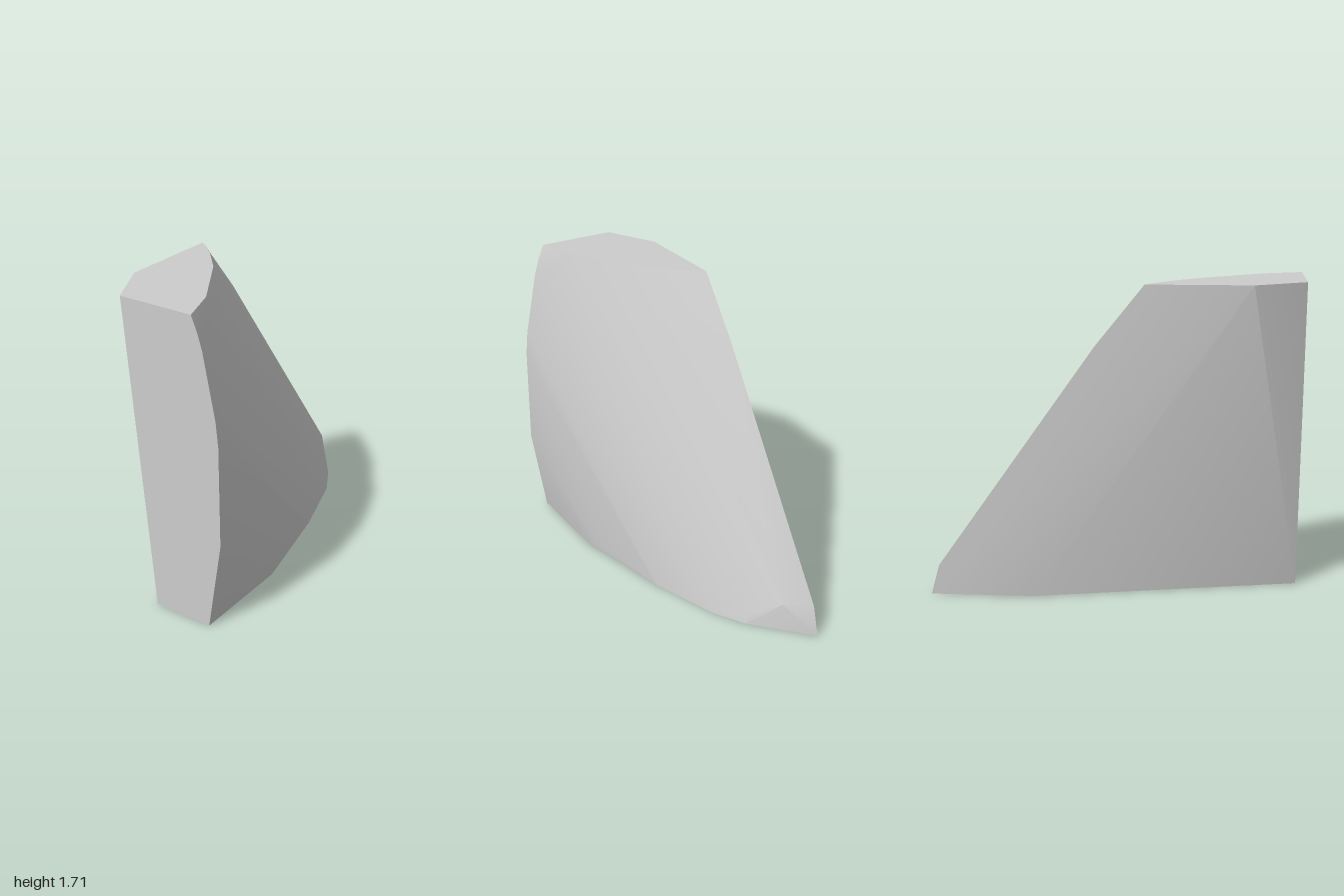
import * as THREE from 'three';
import { ConvexGeometry } from 'three/addons/geometries/ConvexGeometry.js';
import { toCreasedNormals } from 'three/addons/utils/BufferGeometryUtils.js';

const H = 1.71;   // height of the flat top
const L = -0.36;  // flat side plane

// Flat bottom outline, as [x, z]
const bottom = [
  [L, -1], [-0.09, -0.71], [0.01, -0.535], [0.14, -0.14],
  [0.27, 0.43], [0.273, 1], [-0.068, 1], [L, -0.44],
];

// Flat top outline, as [x, z]
const top = [
  [L, 0.16], [-0.23, 0.27], [-0.09, 0.425], [0.135, 0.78],
  [0.215, 1], [-0.213, 1], [L, 0.72],
];

// Bowed edge of the front face, as [x, y]
const frontEdge = [[0.249, 1.63], [0.276, 1.54], [0.344, 1.195], [0.357, 1.06], [0.357, 0.507]];

// Corners on the raked, curved back and side, as [x, y, z]
const curvedSide = [
  [L, 1.385, -0.1], [L, 0.165, -0.955], [-0.23, 0.16, -0.85],
  [-0.1, 0.05, -0.7], [0.12, 1.0, 0.3], [0.258, 0.04, 0.34],
];

export function createModel() {
  const group = new THREE.Group();
  const stone = new THREE.MeshStandardMaterial({ color: 0xcccccc });
  stone.name = 'pale grey';

  const points = [
    ...bottom.map(([x, z]) => new THREE.Vector3(x, 0, z)),
    ...top.map(([x, z]) => new THREE.Vector3(x, H, z)),
    ...frontEdge.map(([x, y]) => new THREE.Vector3(x, y, 1)),
    ...curvedSide.map((p) => new THREE.Vector3(...p)),
  ];

  // Soft facets on the curved side, sharp edges around the flat cuts
  const wedge = new THREE.Mesh(toCreasedNormals(new ConvexGeometry(points), 0.3), stone);
  wedge.name = 'wedge block';
  group.add(wedge);
  return group;
}
